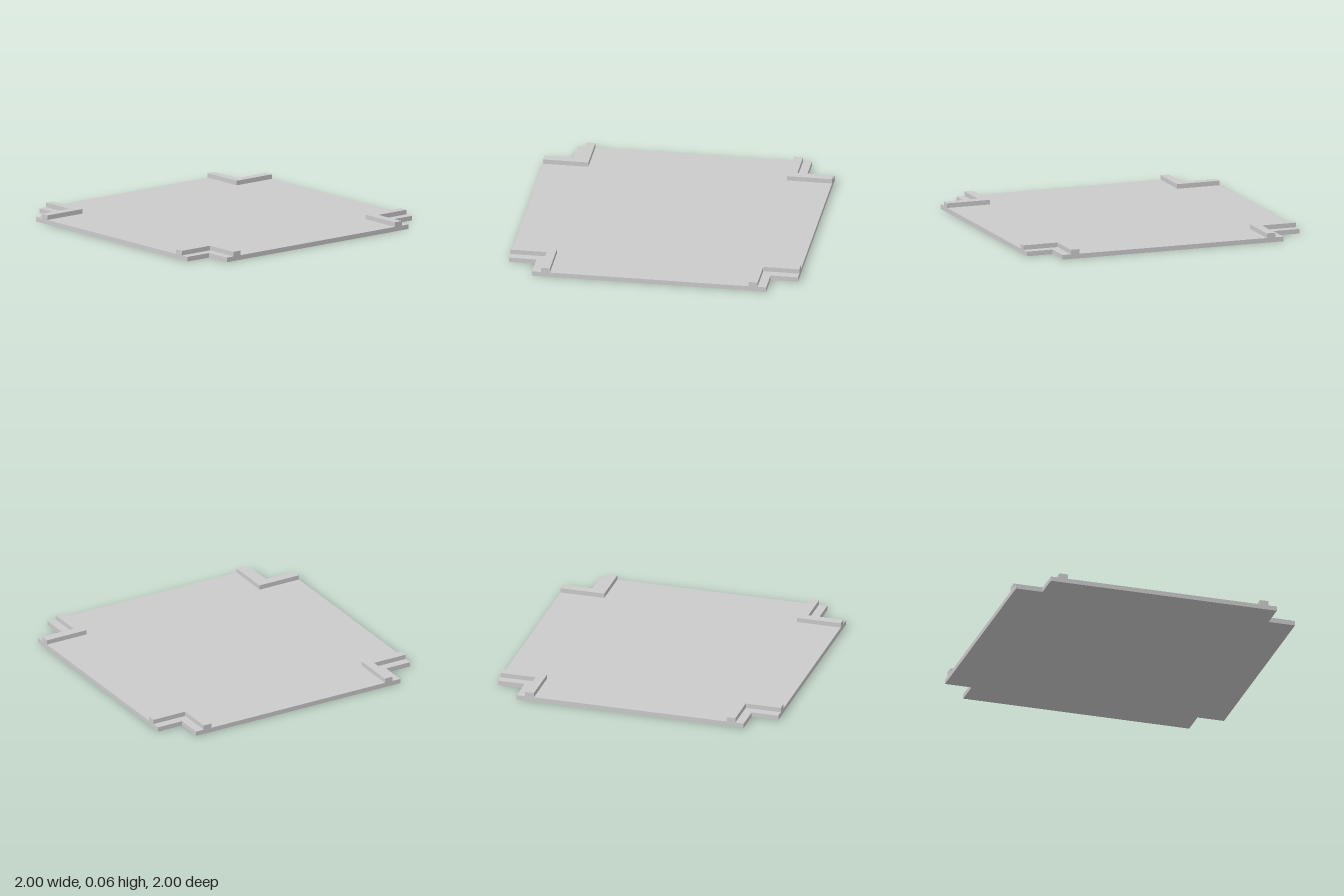
import * as THREE from 'three';

const HALF = 1;          // half width of the tray
const NOTCH = 0.81;      // where the corner cut-outs begin
const RAIL_IN = 0.6875;  // inner edge of the corner rails
const RAIL_OUT = 0.75;   // outer edge of the corner rails
const PLATE_H = 0.032;
const RAIL_H = 0.032;

// Extrudes a floor-plan outline upwards from y = 0
function slab(points, height) {
  const shape = new THREE.Shape(points.map(([x, y]) => new THREE.Vector2(x, y)));
  const geometry = new THREE.ExtrudeGeometry(shape, { depth: height, bevelEnabled: false });
  return geometry.rotateX(-Math.PI / 2);
}

export function createModel() {
  const model = new THREE.Group();
  model.name = 'notchedTray';
  const material = new THREE.MeshStandardMaterial({ color: 0xcccccc, flatShading: true });

  // Flat base with a square cut-out at each corner
  const base = new THREE.Mesh(slab([
    [-NOTCH, -HALF], [NOTCH, -HALF], [NOTCH, -NOTCH], [HALF, -NOTCH],
    [HALF, NOTCH], [NOTCH, NOTCH], [NOTCH, HALF], [-NOTCH, HALF],
    [-NOTCH, NOTCH], [-HALF, NOTCH], [-HALF, -NOTCH], [-NOTCH, -NOTCH],
  ], PLATE_H), material);
  base.name = 'basePlate';
  model.add(base);

  // L-shaped raised rail, repeated around the four corners
  const railGeometry = slab([
    [RAIL_IN, RAIL_IN], [HALF, RAIL_IN], [HALF, RAIL_OUT],
    [RAIL_OUT, RAIL_OUT], [RAIL_OUT, HALF], [RAIL_IN, HALF],
  ], RAIL_H);
  const names = ['backLeftRail', 'backRightRail', 'frontRightRail', 'frontLeftRail'];
  names.forEach((name, i) => {
    const rail = new THREE.Mesh(railGeometry, material);
    rail.name = name;
    rail.position.y = PLATE_H;
    rail.rotation.y = i * Math.PI / 2;
    model.add(rail);
  });

  return model;
}
